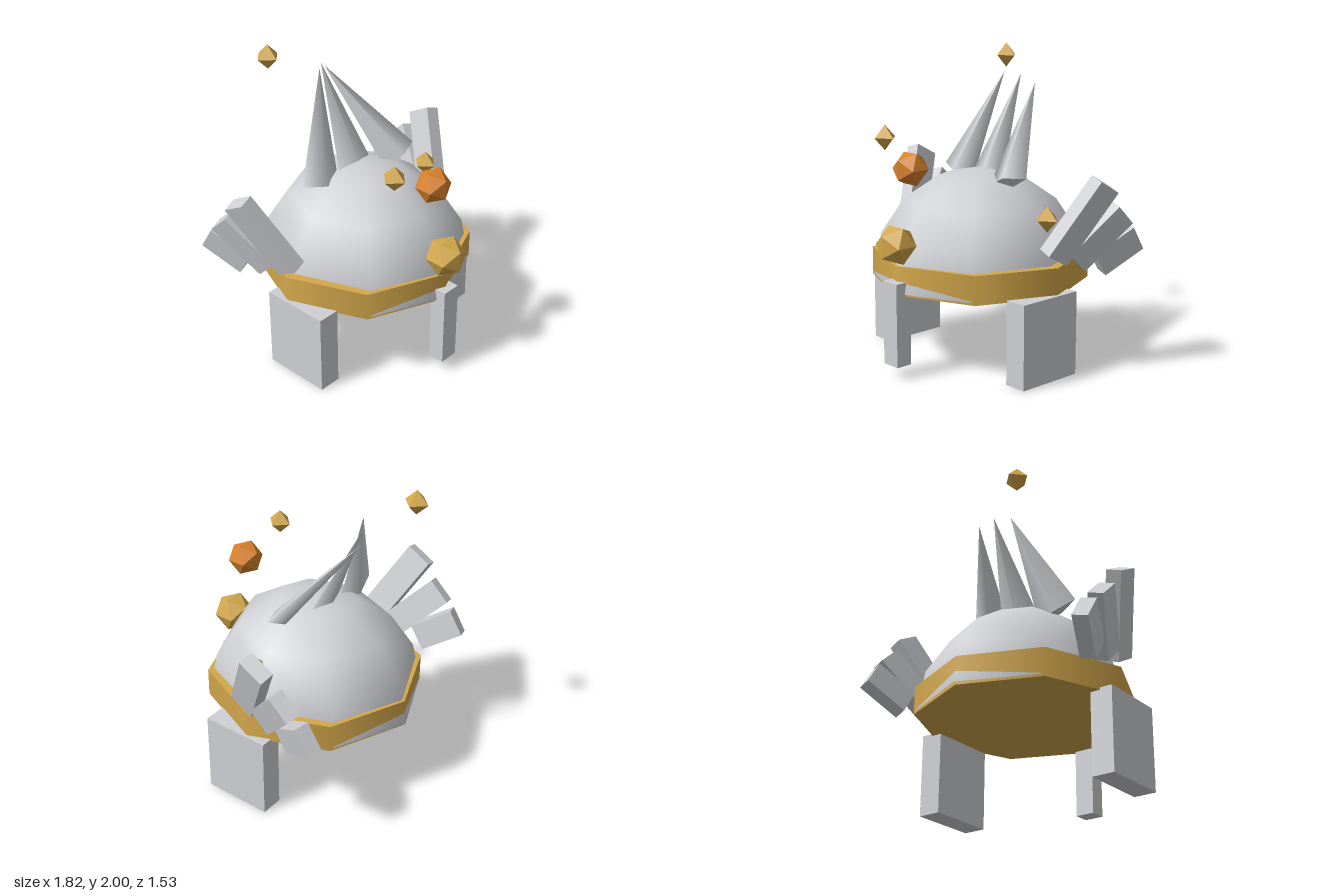
import * as THREE from 'three';

export function createModel() {
  const model = new THREE.Group();
  const steel = new THREE.MeshStandardMaterial({ name: 'steelGrey', color: 0xced0d4 });
  const gold = new THREE.MeshStandardMaterial({ name: 'gold', color: 0xd4a84b });
  const amber = new THREE.MeshStandardMaterial({ name: 'amber', color: 0xd9822b });

  const add = (name, geometry, material, x, y, z) => {
    const mesh = new THREE.Mesh(geometry, material);
    mesh.name = name;
    mesh.position.set(x, y, z);
    model.add(mesh);
    return mesh;
  };

  // Helmet bowl: eight-sided smooth half sphere, slightly deeper than wide
  const bowl = new THREE.SphereGeometry(1, 8, 4, 0, Math.PI * 2, 0, Math.PI / 2);
  bowl.scale(0.675, 0.71, 0.72);
  add('helmetDome', bowl, steel, 0, 0.54, -0.045);

  // Gold rim band
  add('rimBand', new THREE.CylinderGeometry(0.705, 0.705, 0.185, 8), gold, 0, 0.618, -0.045);

  // Nose guard
  add('noseGuard', new THREE.BoxGeometry(0.13, 0.535, 0.11), steel, 0, 0.348, 0.655);

  // Cheek guards and fanned wing feathers on both sides
  const feathers = [
    { length: 0.55, y: 1.0, z: -0.155, tilt: -0.5 },
    { length: 0.42, y: 0.88, z: -0.33, tilt: -0.75 },
    { length: 0.3, y: 0.77, z: -0.5, tilt: -1.0 },
  ];
  for (const [side, label] of [[1, 'left'], [-1, 'right']]) {
    add(label + 'CheekGuard', new THREE.BoxGeometry(0.15, 0.54, 0.46), steel, side * 0.65, 0.27, 0.037);
    feathers.forEach((f, i) => {
      const box = new THREE.BoxGeometry(0.1, f.length, 0.18);
      const feather = add(`${label}WingFeather${i + 1}`, box, steel, side * 0.77, f.y, f.z);
      feather.rotation.set(f.tilt, 0, -side * 0.35);
    });
  }

  // Crest: flattened spikes from a base point to a tip, with a width direction
  const spikes = [
    { name: 'rightCrestSpike', base: [-0.3, 1.165, -0.13], tip: [-0.083, 1.838, -0.34], width: [0.144, -0.031, 0.01] },
    { name: 'middleCrestSpike', base: [0, 1.145, -0.095], tip: [0, 1.828, -0.41], width: [1, 0, 0] },
    { name: 'leftCrestSpike', base: [0.3, 1.19, 0], tip: [0.08, 1.768, -0.46], width: [0.144, 0.058, -0.03] },
  ];
  for (const s of spikes) {
    const base = new THREE.Vector3(...s.base);
    const axis = new THREE.Vector3(...s.tip).sub(base);
    const height = axis.length();
    axis.normalize();
    const depth = new THREE.Vector3(...s.width).cross(axis).normalize();
    const width = new THREE.Vector3().crossVectors(axis, depth);
    const cone = new THREE.ConeGeometry(0.155, height, 4);
    cone.scale(1, 1, 0.35);
    cone.translate(0, height / 2, 0);
    const spike = add(s.name, cone, steel, ...s.base);
    spike.quaternion.setFromRotationMatrix(new THREE.Matrix4().makeBasis(width, axis, depth));
  }

  // Brow gem and the gem floating above it
  add('browGem', new THREE.IcosahedronGeometry(0.132, 0), gold, 0, 0.845, 0.655);
  add('amberGem', new THREE.IcosahedronGeometry(0.116, 0), amber, 0, 1.305, 0.535);

  // Small floating sparks
  [[-0.305, 1.92, -0.57], [-0.305, 1.46, 0.49], [0.61, 1.0, -0.04]].forEach((p, i) => {
    add(`floatingSpark${i + 1}`, new THREE.OctahedronGeometry(0.082, 0), gold, ...p);
  });

  return model;
}
